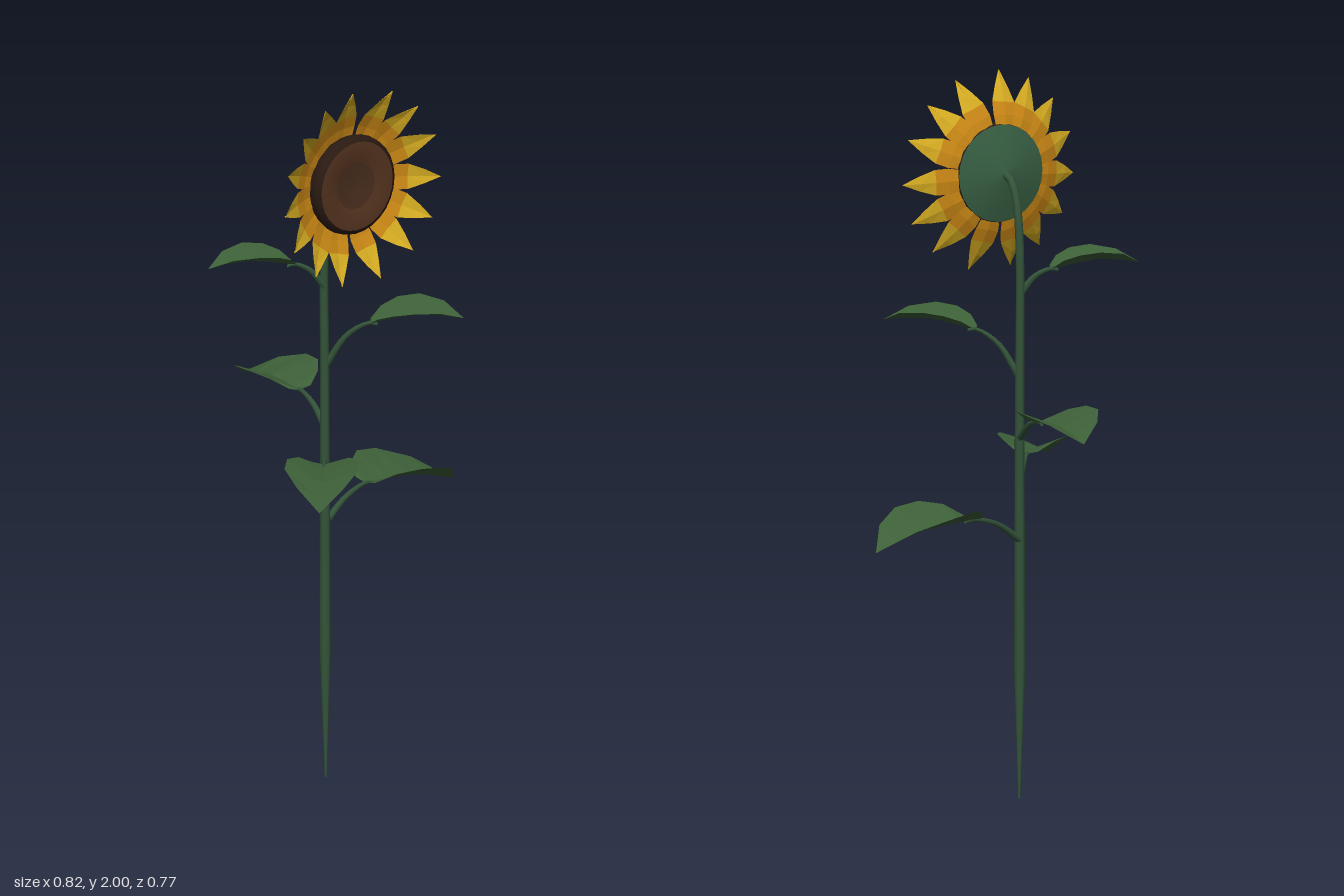
import * as THREE from 'three';

const mat = (color, flatShading = false) =>
  new THREE.MeshStandardMaterial({ color, flatShading, side: THREE.DoubleSide });
const stemMat = mat(0x34543a);
const leafMat = mat(0x3d6038, true);
const calyxMat = mat(0x386044);
const seedMat = mat(0x55341f);
const seedCentreMat = mat(0x4a2e1e);
const rimMat = mat(0x2a1a12);
const petalInnerMat = mat(0xce8a16, true);
const petalOuterMat = mat(0xd8ae22, true);

const V = (x, y, z) => new THREE.Vector3(x, y, z);

function addMesh(parent, name, geometry, material) {
  const mesh = new THREE.Mesh(geometry, material);
  mesh.name = name;
  parent.add(mesh);
}

// Surface through equal rows of points
function sheet(rows) {
  const cols = rows[0].length;
  const index = [];
  for (let i = 0; i < rows.length - 1; i++) {
    for (let j = 0; j < cols - 1; j++) {
      const a = i * cols + j, b = a + cols;
      index.push(a, a + 1, b, a + 1, b + 1, b);
    }
  }
  const geo = new THREE.BufferGeometry().setFromPoints(rows.flat());
  geo.setIndex(index);
  geo.computeVertexNormals();
  return geo;
}

// Tube whose radius varies along its length
function taperedTube(points, segments, sides, radiusAt) {
  const curve = new THREE.CatmullRomCurve3(points);
  const geo = new THREE.TubeGeometry(curve, segments, 1, sides);
  const pos = geo.attributes.position;
  const p = V(0, 0, 0);
  for (let i = 0; i < pos.count; i++) {
    const t = Math.floor(i / (sides + 1)) / segments;
    const centre = curve.getPointAt(t);
    p.fromBufferAttribute(pos, i).sub(centre).multiplyScalar(radiusAt(t)).add(centre);
    pos.setXYZ(i, p.x, p.y, p.z);
  }
  return geo;
}

// Stations along a leaf: position, relative width, lift of the edges, arch of the midrib
const leafStations = [
  [0, 0.3, 0.15, 0], [0.1, 0.68, 0.75, 0.003], [0.27, 0.96, 1, 0.01],
  [0.5, 1, 0.92, 0.017], [0.77, 0.64, 0.68, 0.012], [1, 0, 0, 0],
];

function leaf(name, attachY, base, tip, halfWidth, lift) {
  const group = new THREE.Group();
  group.name = name;

  // Stalk curving out of the stem to the underside of the blade
  const root = V(-0.1, attachY, 0.037);
  const bend = root.clone().lerp(base, 0.5);
  bend.y = attachY + (base.y - attachY) * 0.72;
  const end = base.clone().lerp(tip, 0.08);
  end.y = base.y - 0.004;
  addMesh(group, 'leafStalk',
    taperedTube([root, bend, base, end], 10, 6, t => 0.011 - 0.006 * t), stemMat);

  // Blade folded upward along the midrib
  const along = tip.clone().sub(base);
  const side = V(-along.z, 0, along.x).normalize();
  const rows = leafStations.map(([t, w, l, arch]) => [-1, 0, 1].map(s => {
    const p = base.clone().addScaledVector(along, t).addScaledVector(side, s * w * halfWidth);
    p.y += arch + Math.abs(s) * l * lift;
    return p;
  }));
  addMesh(group, 'leafBlade', sheet(rows), leafMat);
  return group;
}

// Turned part facing +z from [radius, z] points
function turned(profile) {
  return new THREE.LatheGeometry(profile.map(([r, z]) => new THREE.Vector2(r, z)), 28)
    .rotateX(Math.PI / 2);
}

function flowerHead() {
  const head = new THREE.Group();
  head.name = 'flowerHead';
  head.position.set(-0.104, 1.722, 0);

  addMesh(head, 'calyx', turned([[0, 0.111], [0.05, 0.119], [0.1, 0.131], [0.135, 0.14]]), calyxMat);
  addMesh(head, 'seedRim', turned([[0.135, 0.14], [0.141, 0.158], [0.138, 0.175], [0.126, 0.182]]), rimMat);
  addMesh(head, 'seedDisc', turned([[0.126, 0.182], [0.1, 0.183], [0.066, 0.176]]), seedMat);
  addMesh(head, 'seedCentre', turned([[0.066, 0.176], [0.035, 0.172], [0, 0.17]]), seedCentreMat);

  // Petals: [radius, half width, z] along each, orange inside and yellow outside
  const stations = [[0.12, 0.027, 0.137], [0.16, 0.036, 0.147], [0.195, 0.036, 0.161],
    [0.235, 0.021, 0.18], [0.278, 0, 0.203]];
  const angles = [97, 68, 45, 22, -4, -28, -50, -77, -105, -127, -150, 186, 162, 139, 118];
  angles.forEach((deg, i) => {
    const petal = new THREE.Group();
    petal.name = 'petal';
    const rows = stations.map(([r, w, z]) =>
      [-1, 0, 1].map(s => V(r, s * w, z + (s ? 0.004 : 0))));
    addMesh(petal, 'petalBase', sheet(rows.slice(0, 3)), petalInnerMat);
    addMesh(petal, 'petalTip', sheet(rows.slice(2)), petalOuterMat);
    petal.rotation.z = THREE.MathUtils.degToRad(deg);
    petal.position.z = (i % 2) * 0.002;
    head.add(petal);
  });
  return head;
}

export function createModel() {
  const model = new THREE.Group();
  model.name = 'sunflower';

  // Stem: pointed at the foot, bending forward into the head
  const stemPath = [V(-0.107, 0, 0.05), V(-0.106, 0.35, 0.046), V(-0.102, 0.8, 0.04),
    V(-0.1, 1.2, 0.036), V(-0.1, 1.45, 0.034), V(-0.102, 1.59, 0.044),
    V(-0.104, 1.67, 0.063), V(-0.104, 1.71, 0.087), V(-0.104, 1.724, 0.122)];
  addMesh(model, 'stem', taperedTube(stemPath, 48, 8,
    t => t < 0.2 ? 0.003 + 0.065 * t : 0.016 - 0.005 * (t - 0.2) / 0.8), stemMat);

  // Leaves spiralling up the stem
  model.add(
    leaf('lowerLeftLeaf', 0.72, V(0.075, 0.795, 0), V(0.41, 0.735, -0.035), 0.13, 0.052),
    leaf('lowerRightLeaf', 0.87, V(-0.195, 0.935, 0.15), V(-0.402, 0.89, 0.382), 0.102, 0.042),
    leaf('backLeaf', 1.0, V(-0.075, 1.067, -0.1), V(-0.043, 1.045, -0.385), 0.113, 0.045),
    leaf('upperLeftLeaf', 1.17, V(-0.012, 1.3, 0.125), V(0.176, 1.318, 0.302), 0.1, 0.033),
    leaf('upperRightLeaf', 1.4, V(-0.178, 1.47, 0), V(-0.412, 1.48, -0.087), 0.077, 0.033),
  );

  model.add(flowerHead());
  return model;
}
